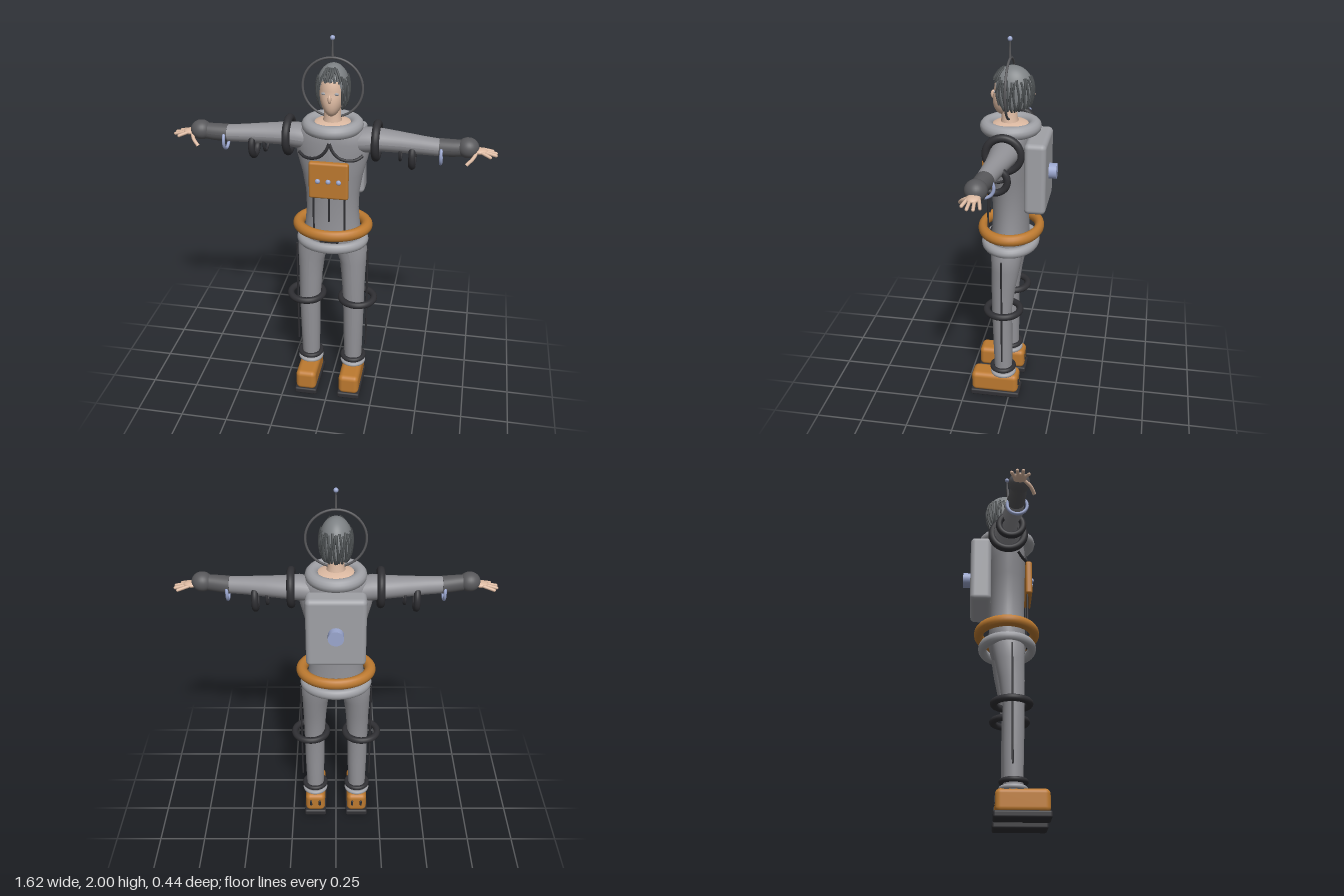
import * as THREE from 'three';
import { mergeVertices } from 'three/addons/utils/BufferGeometryUtils.js';
import { RoundedBoxGeometry } from 'three/addons/geometries/RoundedBoxGeometry.js';

const V = (x, y, z) => new THREE.Vector3(x, y, z);

function mat(name, color, side = THREE.FrontSide) {
  const m = new THREE.MeshStandardMaterial({ color, side });
  m.name = name;
  return m;
}

// Elliptical sections stacked upward: [y, centre x, centre z, radius x, radius z]
function loft(sections, sides = 32) {
  const m = sections.length - 1;
  const g = new THREE.CylinderGeometry(1, 1, 1, sides, m);
  const p = g.attributes.position;
  for (let i = 0; i < p.count; i++) {
    const [y, cx, cz, rx, rz] = sections[Math.round((p.getY(i) + 0.5) * m)];
    p.setXYZ(i, cx + p.getX(i) * rx, y, cz + p.getZ(i) * rz);
  }
  g.computeVertexNormals();
  return g;
}

// Ring whose axis is x, y or z, optionally stretched
function ring(axis, R, r, x, y, z, sx = 1, sz = 1) {
  const g = new THREE.TorusGeometry(R, r, 14, 48);
  if (axis === 'x') g.rotateY(Math.PI / 2);
  if (axis === 'y') g.rotateX(Math.PI / 2);
  return g.scale(sx, 1, sz).translate(x, y, z);
}

function rod(a, b, r) {
  const d = b.clone().sub(a);
  const g = new THREE.CapsuleGeometry(r, d.length(), 5, 10);
  g.applyQuaternion(new THREE.Quaternion().setFromUnitVectors(V(0, 1, 0), d.normalize()));
  const c = a.clone().add(b).multiplyScalar(0.5);
  return g.translate(c.x, c.y, c.z);
}

const box = (w, h, d, r, x, y, z) => new RoundedBoxGeometry(w, h, d, 4, r).translate(x, y, z);
const ball = (rx, ry, rz, x, y, z) =>
  new THREE.SphereGeometry(1, 28, 20).scale(rx, ry, rz).translate(x, y, z);
const tube = (pts, r, n = 24) => new THREE.TubeGeometry(new THREE.CatmullRomCurve3(pts), n, r, 8);

// Mirror to the other side, keeping the faces outward
function mirrored(geo) {
  const g = geo.index ? geo.clone() : mergeVertices(geo);
  g.scale(-1, 1, 1);
  const a = g.index.array;
  for (let i = 0; i < a.length; i += 3) [a[i], a[i + 1]] = [a[i + 1], a[i]];
  return g;
}

// Point on the hair surface: angle a around from the front, t from crown to hem
function hairPoint(a, t, grow = 0) {
  const w = Math.acos(Math.cos(a));
  const open = THREE.MathUtils.smoothstep(w, 0.55, 1.0);
  const back = THREE.MathUtils.smoothstep(w, 1.6, 2.6);
  const th = t * THREE.MathUtils.degToRad(66 + 86 * open - 14 * back);
  const s = th < Math.PI / 2 ? Math.sin(th) : Math.sin(th) ** 0.45;
  return V((0.079 + grow) * s * Math.sin(a), 1.748 + (0.113 + grow) * Math.cos(th),
    (0.101 + grow) * s * Math.cos(a));
}

export function createModel() {
  const model = new THREE.Group();
  model.name = 'spacesuitFigure';
  const suit = mat('suitGrey', 0x929297);
  const pale = mat('paleGrey', 0xa0a1a6);
  const orange = mat('orange', 0xbd7a30);
  const black = mat('rubberBlack', 0x303034);
  const glove = mat('gloveGrey', 0x58585b);
  const skin = mat('skin', 0xddbaa2);
  const hair = mat('hairGrey', 0x7d8184, THREE.DoubleSide);
  const strandMat = mat('hairDark', 0x4d5153);
  const blue = mat('paleBlue', 0x9ba7cf);

  const add = (name, geo, material) => {
    const m = new THREE.Mesh(geo, material);
    m.name = name;
    model.add(m);
  };
  const pair = (name, geo, material) => {
    add(name + 'Left', geo, material);
    add(name + 'Right', mirrored(geo), material);
  };

  // Torso
  add('torso', loft([
    [0.86, 0, 0.015, 0.06, 0.06], [0.89, 0, 0.015, 0.15, 0.09], [0.94, 0, 0.015, 0.16, 0.1],
    [1.0, 0, 0.012, 0.145, 0.096], [1.1, 0, 0.012, 0.136, 0.092], [1.2, 0, 0.012, 0.139, 0.094],
    [1.3, 0, 0.012, 0.156, 0.097], [1.4, 0, 0.012, 0.182, 0.1], [1.48, 0, 0.012, 0.19, 0.099],
    [1.53, 0, 0.012, 0.172, 0.092], [1.56, 0, 0.012, 0.12, 0.08],
  ], 40), suit);
  add('collar', ring('y', 0.12, 0.034, 0, 1.555, 0.012), pale);
  add('neckBase', ball(0.105, 0.03, 0.1, 0, 1.555, 0.012), skin);
  add('neck', loft([[1.54, 0, 0.015, 0.06, 0.055], [1.6, 0, 0.018, 0.042, 0.04],
    [1.68, 0, 0.02, 0.04, 0.04]], 24), skin);

  // Head, drawn in and forward toward the chin
  const head = new THREE.SphereGeometry(1, 36, 28);
  const hp = head.attributes.position;
  for (let i = 0; i < hp.count; i++) {
    const k = Math.max(0, -hp.getY(i));
    hp.setXYZ(i, hp.getX(i) * 0.068 * (1 - 0.18 * k), 1.735 + hp.getY(i) * 0.124,
      0.008 + hp.getZ(i) * 0.086 + 0.036 * k);
  }
  head.computeVertexNormals();
  add('head', head, skin);
  add('nose', ball(0.009, 0.022, 0.014, 0, 1.712, 0.098), skin);
  pair('eye', ball(0.014, 0.007, 0.006, 0.03, 1.735, 0.084), pale);

  // Hair cap with strands laid over it
  const cap = new THREE.SphereGeometry(1, 72, 24);
  const cp = cap.attributes.position, uv = cap.attributes.uv;
  for (let i = 0; i < cp.count; i++) {
    const q = hairPoint(uv.getX(i) * Math.PI * 2 - Math.PI / 2, 1 - uv.getY(i));
    cp.setXYZ(i, q.x, q.y, q.z);
  }
  cap.computeVertexNormals();
  add('hairCap', cap, hair);
  const strands = 34;
  for (let i = 0; i < strands; i++) {
    const a = (i + 0.5) / strands * Math.PI * 2;
    const pts = [];
    for (let j = 0; j <= 6; j++) {
      const t = 0.42 + 0.1 * j + 0.025 * Math.sin(i * 2.4);
      pts.push(hairPoint(a + 0.05 * Math.sin(i * 1.7 + j), t, 0.002));
    }
    add('hairStrand', tube(pts, 0.0055, 14), strandMat);
  }

  // Helmet hoop and antenna
  add('helmetHoop', ring('z', 0.148, 0.006, 0, 1.744, 0.015), glove);
  add('antenna', new THREE.CylinderGeometry(0.003, 0.006, 0.09, 10).translate(0, 1.942, 0.015), glove);
  add('antennaTip', ball(0.012, 0.012, 0.012, 0, 1.988, 0.015), blue);

  // Chest unit, buttons and hoses
  add('chestUnit', box(0.2, 0.195, 0.035, 0.012, 0, 1.3, 0.127), orange);
  for (const x of [-0.053, 0, 0.053])
    add('chestButton', ball(0.013, 0.013, 0.01, x, 1.3, 0.146), blue);
  pair('chestHose', tube([V(0, 1.49, 0.11), V(0.018, 1.452, 0.118), V(0.05, 1.42, 0.118),
    V(0.095, 1.404, 0.106), V(0.135, 1.405, 0.085), V(0.16, 1.42, 0.066)], 0.008), black);
  pair('waistHose', rod(V(0.08, 1.21, 0.118), V(0.08, 1.01, 0.118), 0.005), black);
  add('middleHose', rod(V(0, 1.21, 0.125), V(0, 1.07, 0.125), 0.005), black);

  // Backpack
  add('backpack', box(0.3, 0.375, 0.11, 0.025, 0, 1.325, -0.13), pale);
  add('backpackKnob', new THREE.CylinderGeometry(0.04, 0.04, 0.045, 32).rotateX(Math.PI / 2)
    .translate(0, 1.325, -0.202), blue);

  // Belts
  add('belt', ring('y', 0.18, 0.03, 0, 1.0, 0.01, 1, 0.82), orange);
  add('hipRing', ring('y', 0.162, 0.028, 0, 0.917, 0.013, 1, 0.8), pale);
  add('buckle', box(0.1, 0.025, 0.02, 0.005, 0, 0.952, 0.116), black);

  // Arms: sections run outward, then are laid along x
  const alongX = (s) => loft(s.map(([x, y, z, ry, rz]) => [x, -y, z, ry, rz])).rotateZ(Math.PI / 2)
    .rotateZ(-Math.PI);
  pair('sleeve', alongX([
    [0.12, 1.478, 0.01, 0.06, 0.07], [0.18, 1.485, 0.01, 0.064, 0.073], [0.25, 1.488, 0.008, 0.056, 0.069],
    [0.35, 1.486, 0.018, 0.051, 0.056], [0.45, 1.484, 0.032, 0.046, 0.047], [0.55, 1.482, 0.042, 0.042, 0.042],
  ]), suit);
  pair('gloveCuff', alongX([[0.53, 1.483, 0.04, 0.045, 0.045], [0.6, 1.487, 0.047, 0.043, 0.041],
    [0.66, 1.492, 0.05, 0.04, 0.036]]), glove);
  pair('wristBall', ball(0.054, 0.05, 0.052, 0.667, 1.495, 0.05), glove);
  pair('shoulderRing', ring('x', 0.085, 0.02, 0.222, 1.484, 0.012), black);
  pair('thinArmRing', ring('x', 0.047, 0.007, 0.342, 1.441, 0.015), black);
  pair('armRing', ring('x', 0.06, 0.017, 0.402, 1.427, 0.02), black);
  pair('wristRing', ring('x', 0.049, 0.008, 0.542, 1.452, 0.045), blue);

  // Hands
  pair('palm', ball(0.04, 0.015, 0.032, 0.722, 1.482, 0.05), skin);
  [[0.022, 0.787, 0.008], [0.041, 0.803, 0.034], [0.06, 0.803, 0.062], [0.074, 0.776, 0.09]]
    .forEach(([z0, x1, z1]) => pair('finger', rod(V(0.735, 1.482, z0), V(x1, 1.468, z1), 0.008), skin));
  pair('thumb', tube([V(0.71, 1.48, 0.07), V(0.695, 1.46, 0.1), V(0.665, 1.433, 0.122)], 0.009, 10), skin);

  // Legs
  pair('leg', loft([
    [0.13, 0.12, 0.035, 0.047, 0.048], [0.35, 0.12, 0.038, 0.053, 0.052], [0.56, 0.12, 0.041, 0.057, 0.054],
    [0.7, 0.116, 0.032, 0.063, 0.065], [0.8, 0.112, 0.022, 0.071, 0.075], [0.87, 0.1, 0.018, 0.085, 0.082],
    [0.93, 0.085, 0.015, 0.08, 0.085],
  ]), suit);
  pair('sideHose', rod(V(0.191, 0.87, 0.032), V(0.191, 0.255, 0.032), 0.005), black);
  pair('kneeRing', ring('y', 0.089, 0.018, 0.14, 0.565, 0.03), black);
  pair('ankleRing', ring('y', 0.059, 0.013, 0.121, 0.18, 0.038), black);
  pair('ankleCuff', ring('y', 0.058, 0.012, 0.121, 0.146, 0.036), pale);

  // Boots
  pair('boot', box(0.112, 0.115, 0.26, 0.026, 0.12, 0.084, 0.08), orange);
  pair('sole', box(0.124, 0.035, 0.275, 0.01, 0.12, 0.0175, 0.078), black);
  for (const x of [0.095, 0.145])
    pair('heelSlot', box(0.012, 0.035, 0.008, 0.003, x, 0.09, -0.051), black);

  return model;
}
